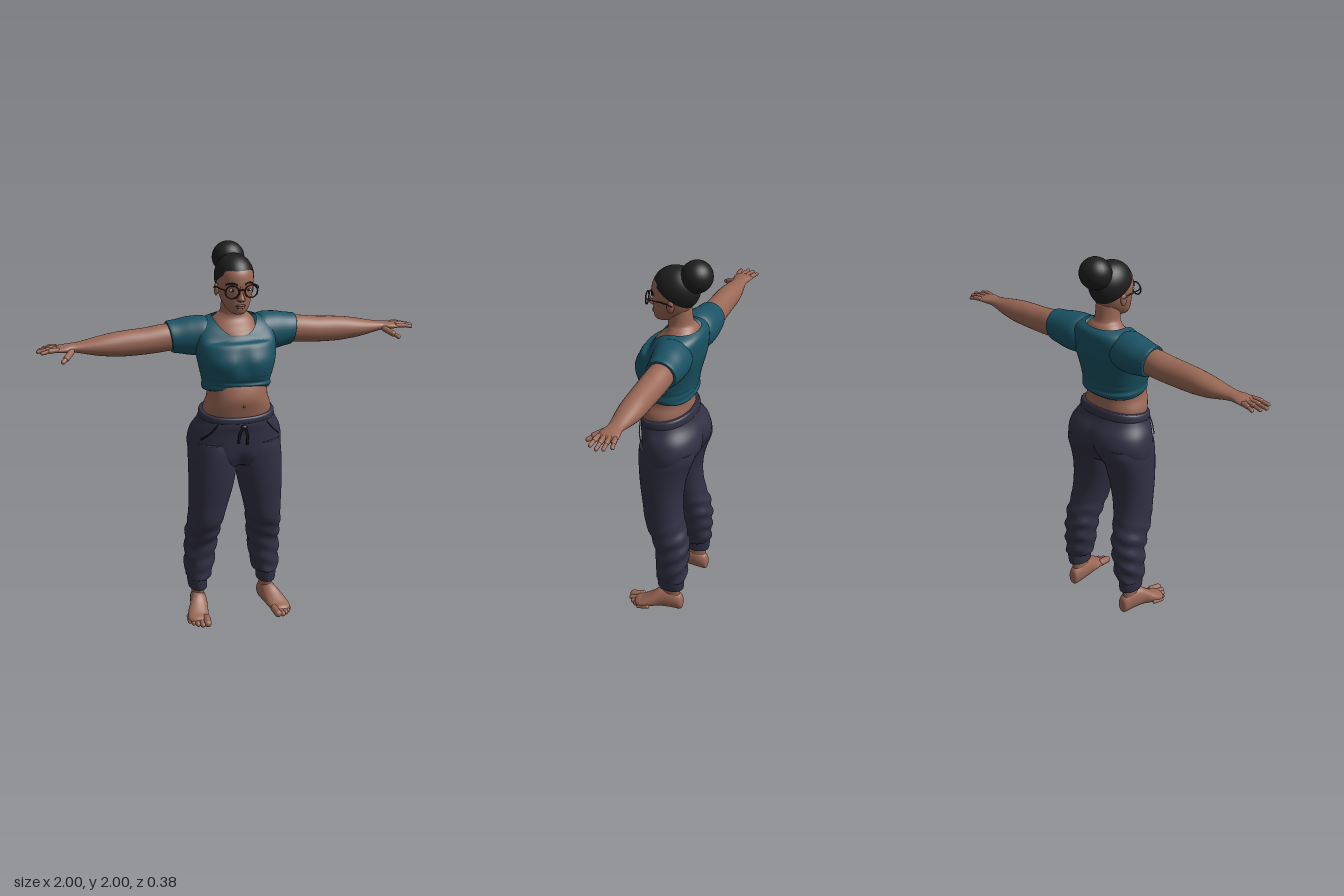
import * as THREE from 'three';

const V = (x, y, z) => new THREE.Vector3(x, y, z);
const mat = (name, color, side = THREE.FrontSide) => {
  const m = new THREE.MeshStandardMaterial({ color, side });
  m.name = name;
  return m;
};

// Smooth skin through cross-sections [t, u0, u1, v0, v1] along an axis.
function loft(axis, rows, { deform, p = 1, seg = 40, sub = 6, capEnd = true } = {}) {
  const fine = [];
  for (let i = 0; i < rows.length - 1; i++) {
    const a = rows[Math.max(i - 1, 0)], b = rows[i], c = rows[i + 1], d = rows[Math.min(i + 2, rows.length - 1)];
    for (let k = 0; k < sub; k++) {
      const t = k / sub;
      fine.push(b.map((_, j) => 0.5 * (2 * b[j] + (c[j] - a[j]) * t + (2 * a[j] - 5 * b[j] + 4 * c[j] - d[j]) * t * t
        + (3 * b[j] - a[j] - 3 * c[j] + d[j]) * t ** 3)));
    }
  }
  fine.push(rows[rows.length - 1]);
  const pos = [], idx = [];
  const place = (t, u, v) => {
    const q = axis === 'y' ? V(u, t, v) : axis === 'x' ? V(t, u, v) : V(u, v, t);
    if (deform) deform(q);
    pos.push(q.x, q.y, q.z);
  };
  const pw = (n) => Math.sign(n) * Math.abs(n) ** p;
  for (const [t, u0, u1, v0, v1] of fine) {
    for (let j = 0; j < seg; j++) {
      const a = (j / seg) * Math.PI * 2;
      place(t, (u0 + u1) / 2 + (u1 - u0) / 2 * pw(Math.cos(a)), (v0 + v1) / 2 + (v1 - v0) / 2 * pw(Math.sin(a)));
    }
  }
  const tri = (a, b, c) => (axis === 'y' ? idx.push(a, b, c) : idx.push(a, c, b));
  const n = fine.length;
  for (let i = 0; i < n - 1; i++) for (let j = 0; j < seg; j++) {
    const a = i * seg + j, b = i * seg + (j + 1) % seg;
    tri(a, a + seg, b);
    tri(b, a + seg, b + seg);
  }
  for (const end of capEnd ? [0, n - 1] : [0]) {
    const [t, u0, u1, v0, v1] = fine[end], c = pos.length / 3;
    place(t, (u0 + u1) / 2, (v0 + v1) / 2);
    for (let j = 0; j < seg; j++) {
      const a = end * seg + j, b = end * seg + (j + 1) % seg;
      if (end) tri(a, c, b); else tri(a, b, c);
    }
  }
  const g = new THREE.BufferGeometry();
  g.setAttribute('position', new THREE.Float32BufferAttribute(pos, 3));
  g.setIndex(idx);
  g.computeVertexNormals();
  return g;
}

// Symmetric rows [y, halfWidth, back, front]
const sym = (rows) => rows.map(([y, w, b, f]) => [y, -w, w, b, f]);

function mirrored(g) {
  const m = g.clone().scale(-1, 1, 1), ix = m.index.array;
  for (let i = 0; i < ix.length; i += 3) [ix[i], ix[i + 1]] = [ix[i + 1], ix[i]];
  return m;
}

function capsule(a, b, r) {
  const d = b.clone().sub(a), g = new THREE.CapsuleGeometry(r, d.length(), 5, 12);
  g.applyQuaternion(new THREE.Quaternion().setFromUnitVectors(V(0, 1, 0), d.normalize()));
  return g.translate((a.x + b.x) / 2, (a.y + b.y) / 2, (a.z + b.z) / 2);
}
const blob = (x, y, z, rx, ry, rz) => new THREE.SphereGeometry(1, 24, 16).scale(rx, ry, rz).translate(x, y, z);
const tube = (pts, r) => new THREE.TubeGeometry(new THREE.CatmullRomCurve3(pts), 16, r, 6);
const bump = (d, w) => Math.exp(-((d / w) ** 2));

export function createModel() {
  const model = new THREE.Group();
  const skin = mat('skin', 0x9a6856), shirt = mat('teal shirt', 0x1a5364, THREE.DoubleSide);
  const pants = mat('navy pants', 0x323145), hair = mat('black hair', 0x1e1e1f);
  const frame = mat('glasses frame', 0x3a2320), lip = mat('lips', 0x7c4842);
  const white = mat('eye white', 0xc8beb6), dark = mat('dark trim', 0x1c1a22);
  const add = (name, g, m) => {
    const mesh = new THREE.Mesh(g, m);
    mesh.name = name;
    model.add(mesh);
  };
  const pair = (name, g, m) => {
    add(name + 'Left', g, m);
    add(name + 'Right', mirrored(g), m);
  };

  // Midriff, neck and upper chest
  add('midriff', loft('y', sym([[1.1, .175, -.09, .145], [1.18, .176, -.094, .166], [1.24, .157, -.092, .178],
    [1.3, .155, -.095, .165], [1.36, .16, -.1, .14]]), { p: 0.9 }), skin);
  add('navel', blob(0, 1.212, .172, .007, .009, .005), lip);
  add('neckAndChest', loft('y', sym([[1.48, .12, -.1, .09], [1.55, .12, -.115, .101], [1.585, .118, -.122, .075],
    [1.62, .108, -.124, .04], [1.645, .083, -.112, .03], [1.67, .064, -.095, .034], [1.75, .06, -.085, .04]])), skin);

  // Cropped shirt with a scooped neckline and a gathered hem
  add('shirtBody', loft('y', sym([[1.265, .172, -.108, .15], [1.285, .179, -.113, .16], [1.31, .176, -.112, .162],
    [1.36, .186, -.12, .18], [1.43, .2, -.137, .193], [1.5, .21, -.153, .165], [1.58, .2, -.158, .13],
    [1.62, .165, -.15, .112], [1.64, .112, -.126, .1]]), {
    p: 0.87, seg: 64, capEnd: false,
    deform(q) {
      const hem = 1 - THREE.MathUtils.smoothstep(q.y, 1.26, 1.4);
      if (q.z > 0) q.z -= .018 * bump(q.x, .035) * bump(q.y - 1.43, .06);
      q.z += .003 * hem * Math.sin(q.y * 190 + q.x * 14);
      const w = THREE.MathUtils.smoothstep(q.y, 1.5, 1.64);
      q.y -= .085 * w * THREE.MathUtils.clamp((q.z + .03) / .13, 0, 1) ** 2;
      q.y += .022 * hem * (q.z + .06) / .2;
    },
  }), shirt);
  pair('sleeve', loft('x', [[.1, 1.46, 1.61, -.13, .04], [.15, 1.44, 1.638, -.15, .055], [.22, 1.44, 1.638, -.152, .04],
    [.28, 1.45, 1.626, -.147, .026], [.322, 1.457, 1.62, -.142, .02], [.328, 1.463, 1.613, -.135, .014]], {
    deform(q) { if (q.x > .2) q.x += .15 * (q.y - 1.54) * (q.x - .2) / .12; },
  }), shirt);

  // Arms and hands
  pair('arm', loft('x', [[.25, 1.475, 1.6, -.12, 0], [.35, 1.466, 1.606, -.126, .006], [.45, 1.46, 1.595, -.12, .01],
    [.56, 1.459, 1.588, -.114, .01], [.63, 1.464, 1.58, -.113, .01], [.7, 1.474, 1.567, -.105, .006],
    [.78, 1.492, 1.551, -.09, -.005], [.82, 1.5, 1.546, -.086, -.008], [.86, 1.502, 1.542, -.093, .004],
    [.9, 1.506, 1.535, -.098, .004], [.92, 1.512, 1.528, -.09, -.004]], { seg: 28 }), skin);
  [[-.086, -.099, .965], [-.06, -.068, .989], [-.035, -.037, 1], [-.009, 0, .983]].forEach(([z0, z1, tip], i) => {
    const knuckle = V(.9, 1.525, z0), end = V(tip - .009, 1.516, z1);
    const mid = knuckle.clone().lerp(end, .5).add(V(0, .003, 0));
    pair('finger' + (i + 1), capsule(knuckle, mid, .0125), skin);
    pair('fingertip' + (i + 1), capsule(mid, end, .0095), skin);
  });
  pair('thumbBase', capsule(V(.83, 1.511, -.01), V(.862, 1.492, .034), .016), skin);
  pair('thumbTip', capsule(V(.862, 1.492, .034), V(.883, 1.479, .056), .011), skin);

  // Loose pants with gathered cuffs
  const tilt = (q) => { if (q.y > 1.05) q.y -= (q.y - 1.05) / .13 * .04 * (q.z + .1) / .26; };
  add('hips', loft('y', sym([[.87, .2, -.1, .12], [.92, .24, -.138, .142], [.99, .25, -.172, .15],
    [1.06, .237, -.162, .155], [1.12, .208, -.125, .162], [1.165, .19, -.106, .16]]), {
    p: 0.9, seg: 64,
    deform(q) {
      if (q.z < 0) q.z += .035 * bump(q.x, .03) * bump(q.y - .95, .1);
      else q.z -= .03 * bump(q.x, .03) * bump(q.y - .88, .06);
      tilt(q);
    },
  }), pants);
  add('waistband', loft('y', sym([[1.143, .194, -.112, .16], [1.15, .199, -.116, .167], [1.18, .196, -.113, .168],
    [1.19, .188, -.106, .162]]), { p: 0.9, sub: 3, deform: tilt }), pants);
  pair('trouserLeg', loft('y', [[.2, .135, .25, -.13, .02], [.215, .12, .258, -.137, .027], [.3, .102, .262, -.142, .03],
    [.4, .09, .258, -.146, .04], [.48, .08, .258, -.136, .07], [.56, .065, .252, -.113, .102], [.65, .043, .25, -.097, .115],
    [.76, .015, .25, -.1, .132], [.86, .0, .249, -.122, .142], [.95, .0, .245, -.152, .145], [1, .02, .235, -.15, .14]], {
    p: 0.93,
    deform(q) {
      const fold = .0045 * (1 - THREE.MathUtils.smoothstep(q.y, .45, .62));
      q.z += fold * Math.sin(q.y * 75 + q.x * 30);
      q.x += fold * Math.sin(q.y * 62 + q.z * 35);
    },
  }), pants);
  pair('cuff', loft('y', [[.138, .148, .237, -.12, .012], [.145, .143, .243, -.126, .019], [.19, .142, .249, -.13, .021],
    [.215, .135, .25, -.13, .02]], { sub: 3 }), pants);
  add('drawstringKnot', blob(0, 1.1, .17, .017, .011, .013), dark);
  add('drawstringLong', tube([V(.004, 1.1, .176), V(.016, 1.06, .176), V(.018, 1.005, .166)], .0065), dark);
  add('drawstringShort', tube([V(-.004, 1.1, .176), V(-.022, 1.07, .175), V(-.028, 1.015, .166)], .0065), dark);
  pair('pocketSeam', tube([V(.128, 1.115, .142), V(.165, 1.07, .131), V(.208, 1.03, .1)], .003), dark);

  // Bare feet turned slightly outward
  pair('ankle', loft('y', [[.04, .158, .224, -.115, -.02], [.1, .16, .225, -.105, .0], [.18, .158, .23, -.11, .0]]), skin);
  pair('foot', loft('z', [[-.122, .178, .205, .02, .06], [-.11, .16, .221, 0, .095], [-.06, .152, .235, 0, .125],
    [0, .155, .25, 0, .12], [.05, .163, .274, 0, .083], [.095, .173, .286, 0, .054], [.125, .18, .274, .002, .042],
    [.14, .188, .25, .008, .032]]), skin);
  [[.197, .172, .02], [.224, .172, .0145], [.246, .155, .0135], [.264, .134, .0125], [.279, .11, .0115]].forEach(([x, z, r], i) =>
    pair('toe' + (i + 1), capsule(V(x - .006, r + .008, z - .055), V(x, r, z - .004), r), skin));

  // Head
  add('head', loft('y', sym([[1.665, .022, .03, .092], [1.675, .04, .005, .104], [1.7, .06, -.04, .11],
    [1.74, .077, -.08, .111], [1.79, .088, -.1, .116], [1.83, .091, -.105, .118], [1.88, .086, -.1, .106],
    [1.93, .055, -.06, .06]]), { p: 0.95 }), skin);
  add('nose', loft('y', sym([[1.733, .012, .09, .12], [1.741, .021, .09, .136], [1.75, .018, .09, .139],
    [1.775, .01, .09, .129], [1.81, .008, .09, .119]]), { seg: 20 }), skin);
  add('upperLip', blob(0, 1.713, .108, .027, .006, .009), lip);
  add('lowerLip', blob(0, 1.703, .107, .023, .007, .01), lip);
  pair('ear', blob(.092, 1.778, -.012, .011, .032, .019), skin);
  pair('eye', blob(.041, 1.791, .101, .016, .0075, .009), white);
  pair('iris', blob(.041, 1.791, .108, .007, .007, .004), dark);
  pair('eyebrow', tube([V(.018, 1.819, .116), V(.042, 1.827, .109), V(.07, 1.818, .085)], .0042), hair);

  // Hair cap with a high bun
  const cap = new THREE.SphereGeometry(1, 40, 24, 0, Math.PI * 2, 0, Math.PI / 2 + .2);
  cap.rotateX(-.6).scale(.099, .115, .121).translate(0, 1.84, -.008);
  hair.side = THREE.DoubleSide;
  add('hairCap', cap, hair);
  add('hairBun', blob(0, 1.919, -.113, .083, .081, .08), hair);

  // Round glasses
  pair('lensRim', new THREE.TorusGeometry(.033, .0038, 8, 32).scale(1.03, .95, 1).rotateY(.16).translate(.049, 1.787, .127), frame);
  pair('templeArm', tube([V(.082, 1.797, .122), V(.096, 1.799, .09), V(.101, 1.797, .02), V(.1, 1.785, -.025)], .0038), frame);
  add('glassesBridge', tube([V(-.017, 1.792, .132), V(0, 1.798, .135), V(.017, 1.792, .132)], .0038), frame);
  return model;
}
